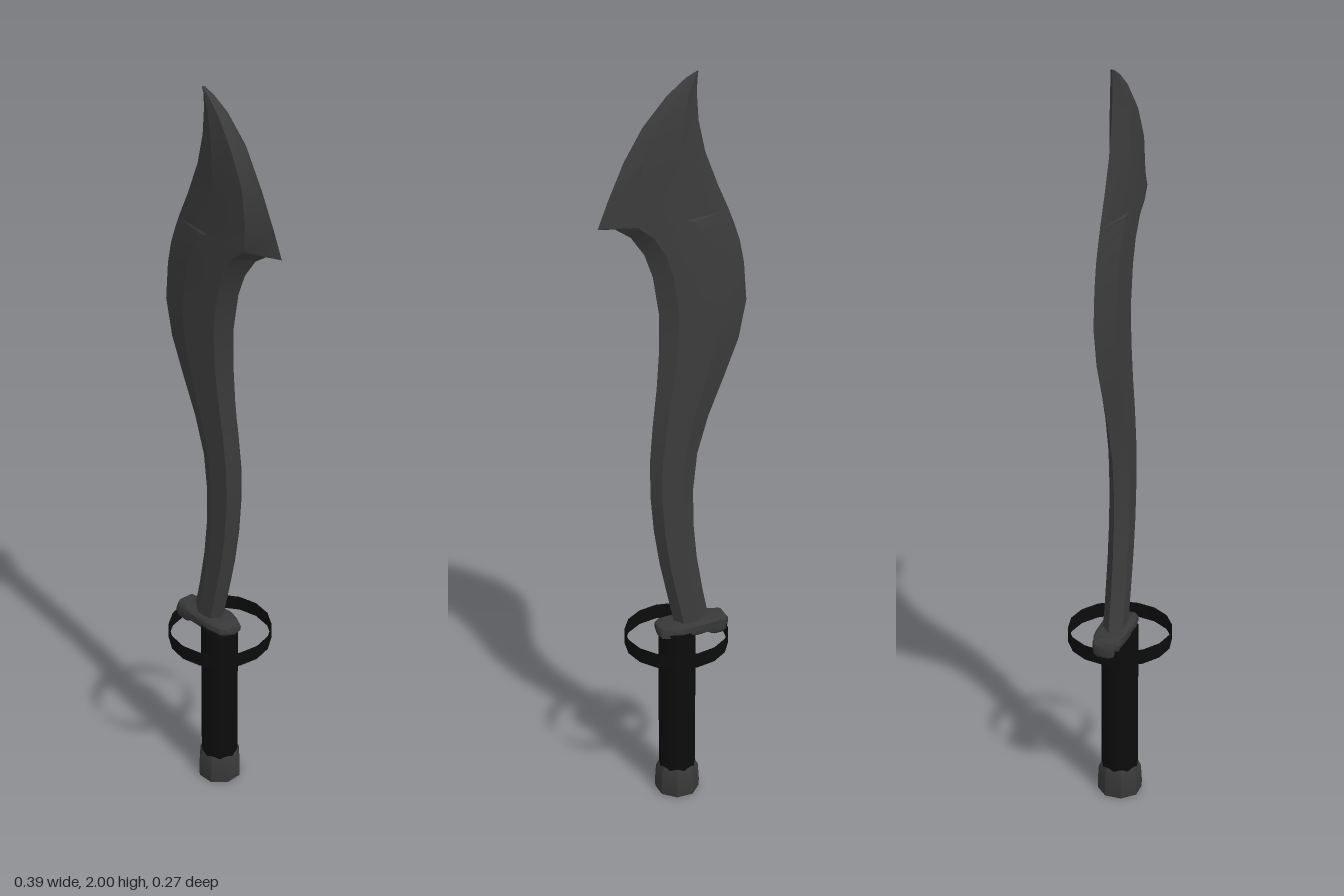
import * as THREE from 'three';
import { toCreasedNormals } from 'three/addons/utils/BufferGeometryUtils.js';

// Blade rows: height, cutting edge x, back edge x
const ROWS = [
  [0.48, -0.11, -0.012], [0.6, -0.085, 0.015], [0.7, -0.068, 0.037], [0.8, -0.058, 0.053],
  [0.9, -0.057, 0.062], [1.0, -0.068, 0.063], [1.1, -0.098, 0.055], [1.2, -0.14, 0.044],
  [1.3, -0.18, 0.037], [1.4, -0.2, 0.037], [1.5, -0.192, 0.053], [1.56, -0.18, 0.075],
  [1.61, -0.163, 0.11], [1.637, -0.152, 0.15], [1.643, -0.15, 0.195], [1.71, -0.12, 0.168],
  [1.8, -0.085, 0.127], [1.88, -0.067, 0.078], [1.95, -0.062, 0.015], [1.985, -0.064, -0.032],
  [2.0, -0.066, -0.064],
];

// Six-sided section: sharp edges on both sides with a flat between two ridges
function bladeGeometry() {
  const pos = [], index = [];
  ROWS.forEach(([y, l, r]) => {
    const t = y > 1.85 ? 0.027 * Math.sqrt(Math.max(0.02, (2 - y) / 0.15)) : 0.027;
    const a = l + (r - l) * 0.36;
    const b = Math.min(l + (r - l) * 0.82, 0.1);
    pos.push(l, y, 0, a, y, t, b, y, t, r, y, 0, b, y, -t, a, y, -t);
  });
  for (let i = 0; i < ROWS.length - 1; i++) {
    for (let j = 0; j < 6; j++) {
      const p = i * 6 + j, q = i * 6 + (j + 1) % 6;
      index.push(p, q, q + 6, p, q + 6, p + 6);
    }
  }
  const top = (ROWS.length - 1) * 6;
  for (let j = 1; j < 5; j++) index.push(0, j + 1, j, top, top + j, top + j + 1);
  const g = new THREE.BufferGeometry();
  g.setAttribute('position', new THREE.Float32BufferAttribute(pos, 3));
  g.setIndex(index);
  return toCreasedNormals(g, 0.3);
}

// Rough lump: a squared-off sphere with small uneven bumps
function lumpGeometry(rx, ry, rz) {
  const g = new THREE.SphereGeometry(1, 14, 8);
  const p = g.attributes.position;
  const square = (v) => Math.sign(v) * Math.pow(Math.abs(v), 0.6);
  for (let i = 0; i < p.count; i++) {
    const x = p.getX(i), y = p.getY(i), z = p.getZ(i);
    const bump = 0.95 + 0.06 * Math.sin(7 * x + 3 * y) * Math.cos(6 * z - 2 * x);
    p.setXYZ(i, square(x) * rx * bump, square(y) * ry * bump, square(z) * rz * bump);
  }
  return toCreasedNormals(g, 0.5);
}

export function createModel() {
  const group = new THREE.Group();
  const material = (name, color, side = THREE.FrontSide) => {
    const m = new THREE.MeshStandardMaterial({ color, side });
    m.name = name;
    return m;
  };
  const steel = material('dark steel', 0x3c3c3c);
  const iron = material('rough iron', 0x383838);
  const grip = material('black grip', 0x0c0c0c);
  const band = material('black band', 0x0c0c0c, THREE.DoubleSide);

  const add = (name, geometry, mat, x, y) => {
    const mesh = new THREE.Mesh(geometry, mat);
    mesh.name = name;
    mesh.position.set(x, y, 0);
    group.add(mesh);
    return mesh;
  };

  add('blade', bladeGeometry(), steel, 0, 0);

  // Collar under the blade, heavier on the cutting side
  add('collar', lumpGeometry(0.1, 0.022, 0.045), iron, -0.047, 0.503);
  add('collarKnob', lumpGeometry(0.034, 0.028, 0.036), iron, -0.12, 0.495);

  // Open ring guard
  add('ringGuard', new THREE.CylinderGeometry(0.137, 0.137, 0.042, 16, 1, true), band, -0.01, 0.475);

  // Grip and pommel
  add('grip', new THREE.CylinderGeometry(0.049, 0.049, 0.43, 16), grip, -0.012, 0.285);
  const pommel = new THREE.LatheGeometry(
    [[0, 0], [0.059, 0], [0.06, 0.02], [0.057, 0.068], [0.05, 0.082], [0, 0.082]]
      .map(([r, y]) => new THREE.Vector2(r, y)), 8, Math.PI / 8);
  add('pommel', toCreasedNormals(pommel, 0.4), iron, -0.012, 0);

  return group;
}
